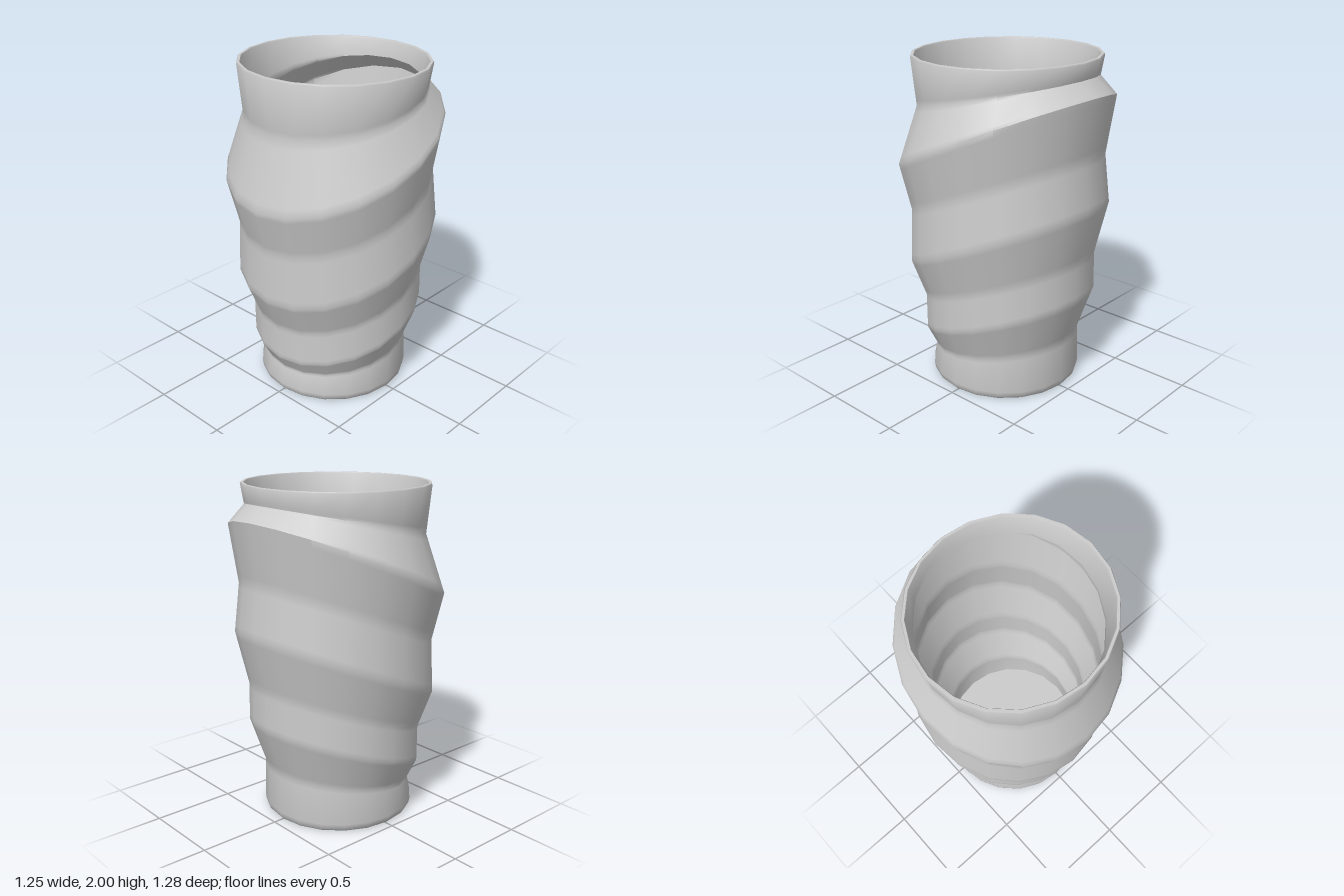
import * as THREE from 'three';
import { toCreasedNormals } from 'three/addons/utils/BufferGeometryUtils.js';

const SIDES = 20;
const WALL = 0.022;

// Tilted elliptical ring given by its left end, right end and depth radius
const ring = (xL, yL, xR, yR, rz) => ({
  cx: (xL + xR) / 2, rx: (xR - xL) / 2, rz, y: (yL + yR) / 2, tilt: (yR - yL) / 2,
});
const mix = (a, b, t) => Object.fromEntries(Object.keys(a).map((k) => [k, a[k] + (b[k] - a[k]) * t]));
const inset = (r, d, dy = 0) => ({ ...r, rx: r.rx - d, rz: r.rz - d, y: r.y + dy });
const centre = (r) => ({ ...r, rx: 0, rz: 0, tilt: 0 });

// Skin a sequence of rings into one closed surface
function skin(rings) {
  const pos = [];
  const point = (r, j) => {
    const a = (j % SIDES) / SIDES * Math.PI * 2;
    return [r.cx + r.rx * Math.cos(a), r.y + r.tilt * Math.cos(a), -r.rz * Math.sin(a)];
  };
  for (let i = 0; i < rings.length - 1; i++) {
    const lo = rings[i], hi = rings[i + 1];
    for (let j = 0; j < SIDES; j++) {
      const a = point(lo, j), b = point(lo, j + 1), c = point(hi, j + 1), d = point(hi, j);
      if (lo.rx > 0) pos.push(...a, ...b, ...c);
      if (hi.rx > 0) pos.push(...a, ...c, ...d);
      else pos.splice(pos.length - 9, 9, ...a, ...b, ...c);
      if (lo.rx === 0) pos.splice(pos.length - 9, 9, ...a, ...c, ...d);
    }
  }
  const g = new THREE.BufferGeometry();
  g.setAttribute('position', new THREE.Float32BufferAttribute(pos, 3));
  return toCreasedNormals(g, 0.85);
}

export function createModel() {
  const group = new THREE.Group();
  group.name = 'vase';

  // Ridges and grooves, from the foot to the lip
  const main = [
    ring(-0.468, 0.045, 0.45, 0.045, 0.46),
    ring(-0.44, 0.16, 0.444, 0.30, 0.445),
    ring(-0.49, 0.25, 0.54, 0.60, 0.522),
    ring(-0.49, 0.47, 0.535, 0.83, 0.522),
    ring(-0.572, 0.67, 0.61, 1.17, 0.602),
    ring(-0.563, 1.0, 0.575, 1.46, 0.58),
    ring(-0.63, 1.26, 0.625, 1.82, 0.64),
    ring(-0.512, 1.67, 0.532, 1.90, 0.532),
    ring(-0.539, 1.993, 0.55, 1.993, 0.558),
  ];

  // Supporting rings beside each ridge keep the bands flat and the ridges soft
  const wall = [];
  main.forEach((r, i) => {
    if (i > 0 && i < main.length - 1) wall.push(mix(r, main[i - 1], 0.12));
    wall.push(r);
    if (i > 0 && i < main.length - 1) wall.push(mix(r, main[i + 1], 0.12));
  });

  const foot = inset(main[0], 0.005, -0.03);
  const base = inset(main[0], 0.018, -0.045);
  const lip = main[main.length - 1];
  const inner = wall.slice(1).reverse().map((r) => inset(r, WALL));
  const floor = inset(main[0], WALL + 0.01);

  const body = new THREE.Mesh(
    skin([
      centre(base), base, foot, ...wall,
      inset(lip, 0.004, 0.007), inset(lip, WALL - 0.004, 0.007),
      ...inner, floor, centre(floor),
    ]),
    new THREE.MeshStandardMaterial({ color: 0xcccccc }),
  );
  body.name = 'vaseBody';
  group.add(body);
  return group;
}
